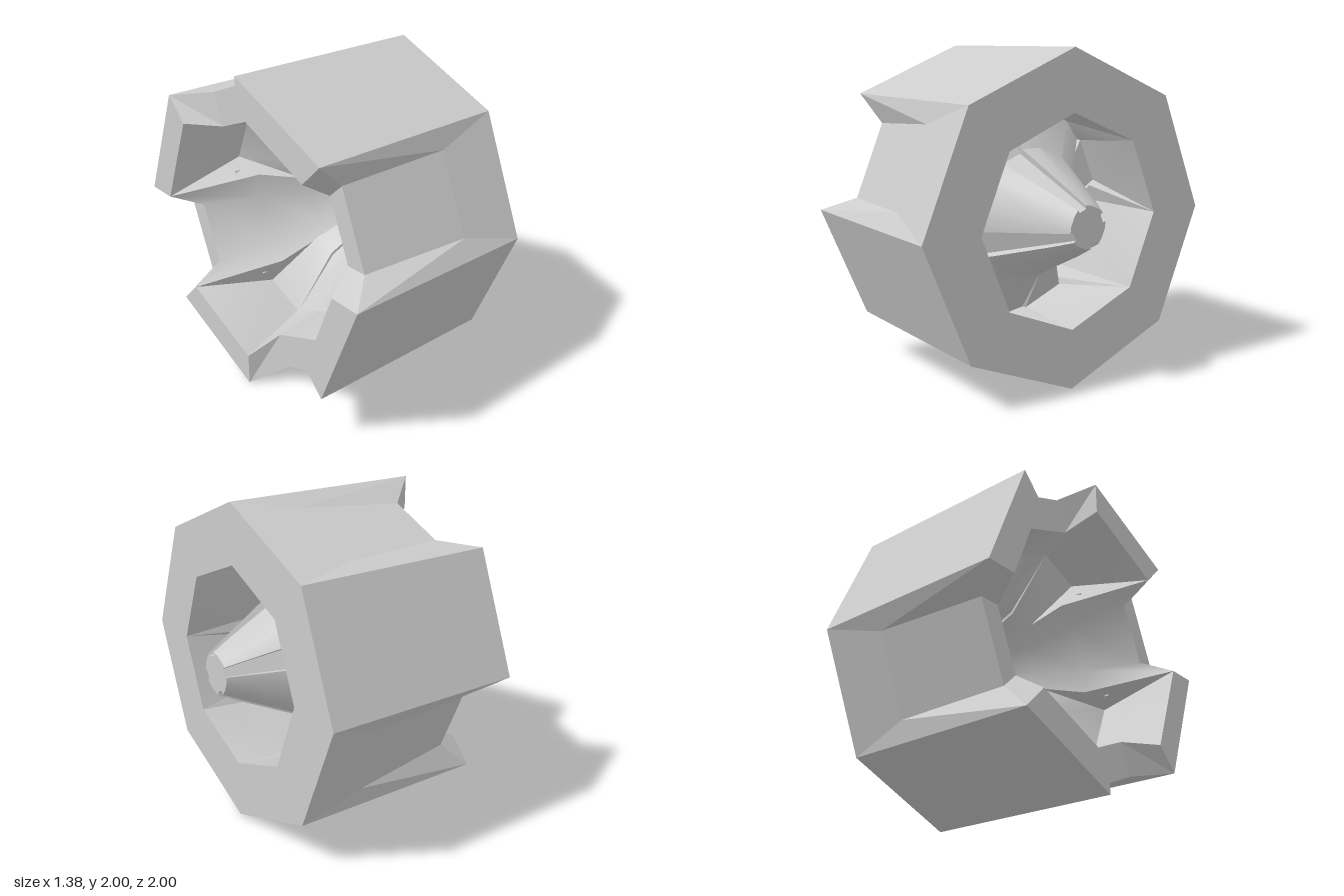
import * as THREE from 'three';
import { toCreasedNormals } from 'three/addons/utils/BufferGeometryUtils.js';

// Closed section followed from the hub, round the rim and back to the hub.
// Each row holds [radius, half angle in degrees, x] for five rails:
// edge and middle of the straight sectors, edge and middle of the flared
// sectors, and the narrow arms between them.
const corner = (r, x) => [r, 22.5, x];
const same = (p) => [p, p, p, p, p];
const back = corner(1, -0.69), inner = corner(0.8, -0.69);
const ROWS = [
  same([0, 0, 0.69]),
  // hub face and hub cone
  [[0.13, 32, 0.69], [0.125, 14, 0.69], [0.13, 32, 0.69], [0.125, 14, 0.69], [0.11, 13, 0.69]],
  [[0.2, 32, 0.56], [0.195, 14, 0.56], [0.2, 32, 0.56], [0.195, 14, 0.56], [0.17, 13, 0.56]],
  // main cone, down to the bottom of the bore
  [[0.42, 32, 0.14], [0.42, 14, 0.14], [0.4, 32, 0.15], [0.4, 14, 0.15], [0.37, 13, 0.12]],
  [[0.66, 32, -0.28], [0.7, 20, -0.3], [0.68, 32, -0.09], [0.7, 20, -0.1], [0.68, 12.5, -0.06]],
  // bore mouth and outer front edge
  same(corner(0.635, 0.56)),
  same(corner(1, 0.56)),
  // recess ramp, notched back edge and its inner edge
  [back, [0.937, 15.8, 0.17], back, [0.94, 15.9, 0.17], back],
  [back, [0.847, 16.6, -0.5], back, [0.897, 12.4, -0.5], back],
  [inner, [0.715, 15.8, -0.5], inner, [0.69, 15.9, -0.5], inner],
  // back of the cone and of the hub
  [[0.54, 33, -0.18], [0.545, 16, -0.18], [0.76, 33, -0.18], [0.66, 18, -0.18], [0.77, 11, -0.18]],
  [[0.37, 32, 0.12], [0.37, 14, 0.12], [0.38, 32, 0.05], [0.38, 14, 0.06], [0.37, 12, 0.04]],
  [[0.15, 32, 0.5], [0.15, 14, 0.5], [0.15, 32, 0.5], [0.15, 14, 0.5], [0.13, 13, 0.48]],
  same([0, 0, 0.5]),
];

// One row all the way round: four wide sectors, alternating, and four arms.
function ring(row) {
  const points = [];
  const add = ([r, h, x], centre, side) => {
    const a = THREE.MathUtils.degToRad(centre + side * h);
    points.push(new THREE.Vector3(x, 1 + r * Math.sin(a), r * Math.cos(a)));
  };
  for (let k = 0; k < 4; k++) {
    const c = 22.5 + 90 * k;
    const [edge, middle] = k % 2 ? row.slice(2) : row;
    add(edge, c, -1);
    add(middle, c, -1);
    add(middle, c, 1);
    add(edge, c, 1);
    add(row[4], c + 45, -1);
    add(row[4], c + 45, 1);
  }
  return points;
}

// Skin between consecutive rings, leaving out triangles without area.
function loft(rows, crease) {
  const rings = rows.map(ring);
  const pos = [];
  const tri = (a, b, c) => {
    if (new THREE.Triangle(a, b, c).getArea() < 1e-7) return;
    for (const p of [a, b, c]) pos.push(p.x, p.y, p.z);
  };
  for (let i = 0; i < rings.length - 1; i++) {
    const A = rings[i], B = rings[i + 1], n = A.length;
    for (let j = 0; j < n; j++) {
      const k = (j + 1) % n;
      // mirrored split keeps both sides of each sector alike
      if (j % 6 < 2) {
        tri(A[j], A[k], B[k]);
        tri(A[j], B[k], B[j]);
      } else {
        tri(A[j], A[k], B[j]);
        tri(A[k], B[k], B[j]);
      }
    }
  }
  const geo = new THREE.BufferGeometry();
  geo.setAttribute('position', new THREE.Float32BufferAttribute(pos, 3));
  return toCreasedNormals(geo, THREE.MathUtils.degToRad(crease));
}

export function createModel() {
  const group = new THREE.Group();
  group.name = 'octagonalWheel';
  const material = new THREE.MeshStandardMaterial({ color: 0xcccccc });
  const part = (name, from, to, crease) => {
    const mesh = new THREE.Mesh(loft(ROWS.slice(from, to + 1), crease), material);
    mesh.name = name;
    group.add(mesh);
  };
  part('hubAndCone', 0, 4, 24);
  part('bore', 4, 5, 20);
  part('outerRim', 5, 9, 2);
  part('coneBack', 9, 13, 35);
  return group;
}
